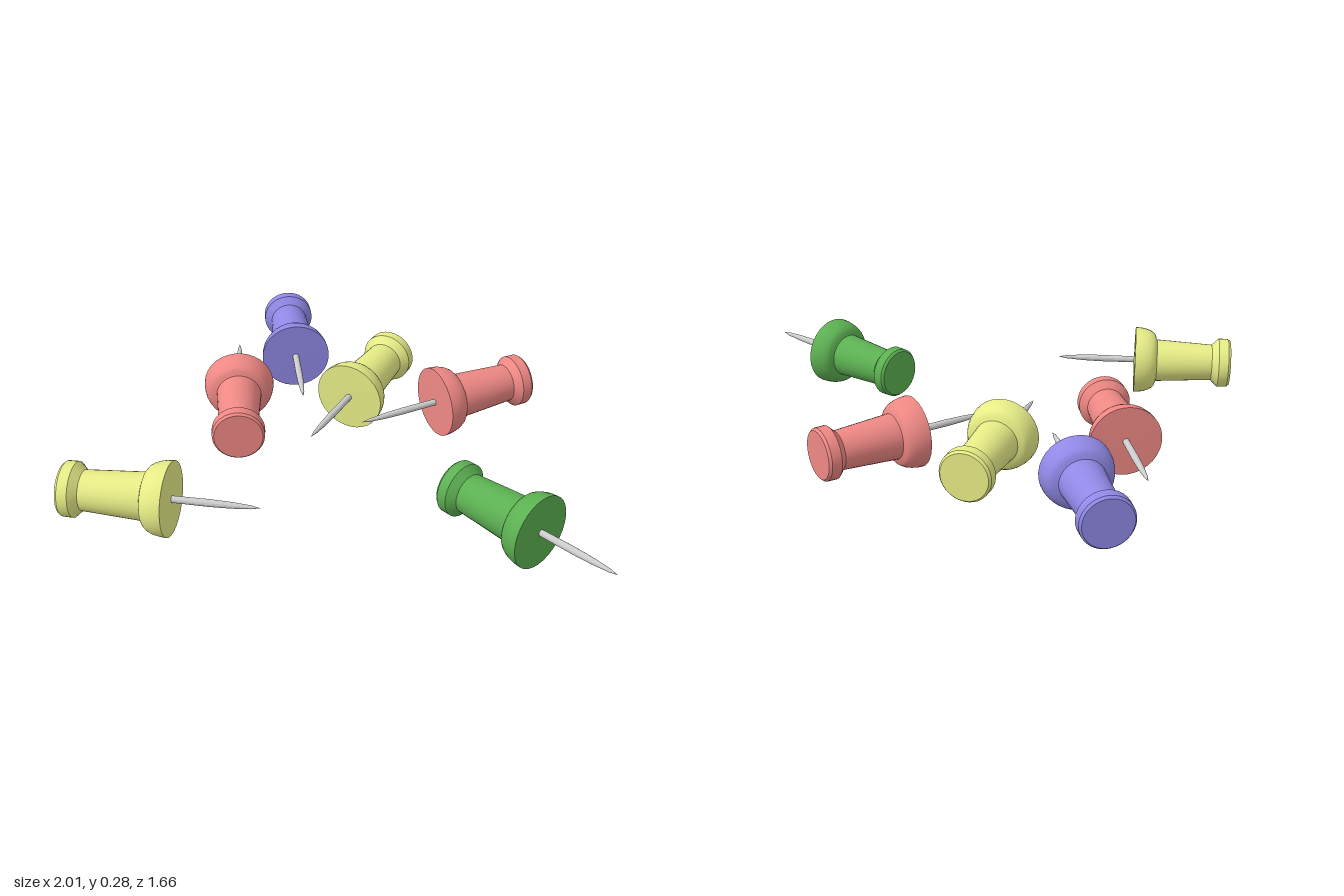
import * as THREE from 'three';
import { toCreasedNormals } from 'three/addons/utils/BufferGeometryUtils.js';

const AXIS_HEIGHT = 0.142;
const UP = new THREE.Vector3(0, 1, 0);

// Turned part from [radius, distance along the pin] pairs
function turned(profile, sides) {
  const points = profile.map(([r, y]) => new THREE.Vector2(r, y));
  return toCreasedNormals(new THREE.LatheGeometry(points, sides), 0.5);
}

// Handle: bevelled cap, tapered grip, domed collar with a flat face
function handleProfile() {
  const profile = [[0, 0], [0.095, 0], [0.103, 0.01], [0.104, 0.05], [0.076, 0.078], [0.09, 0.312]];
  for (let i = 0; i <= 6; i++) {
    const a = (i / 6) * Math.PI / 2;
    profile.push([0.098 + 0.043 * Math.sin(a), 0.406 - 0.09 * Math.cos(a)]);
  }
  profile.push([0, 0.408]);
  return profile;
}

// Needle: thin shaft tapering to a point
const needleProfile = [[0.013, 0.4], [0.014, 0.55], [0.012, 0.63], [0.007, 0.7], [0, 0.736]];

// Cap centre and needle tip of each pin as [x, z]
const pins = [
  { name: 'yellowPinFront', color: 0xe6ec86, cap: [-1, 0.695], tip: [-0.264, 0.667] },
  { name: 'yellowPinMiddle', color: 0xe6ec86, cap: [-0.03, -0.538], tip: [-0.205, 0.175] },
  { name: 'bluePin', color: 0x9088e6, cap: [-0.562, -0.803], tip: [-0.31, -0.115] },
  { name: 'redPinRight', color: 0xee8884, cap: [0.533, -0.436], tip: [-0.03, 0.03] },
  { name: 'redPinLeft', color: 0xee8884, cap: [-0.478, 0.235], tip: [-0.685, -0.47] },
  { name: 'greenPin', color: 0x5cb052, cap: [0.386, 0.38], tip: [1, 0.782] },
];

export function createModel() {
  const model = new THREE.Group();
  model.name = 'pushPins';
  const handleGeometry = turned(handleProfile(), 32);
  const needleGeometry = turned(needleProfile, 12);
  const needleMaterial = new THREE.MeshStandardMaterial({ color: 0xcccccc });

  for (const { name, color, cap, tip } of pins) {
    const pin = new THREE.Group();
    pin.name = name;
    const handle = new THREE.Mesh(handleGeometry, new THREE.MeshStandardMaterial({ color }));
    handle.name = 'handle';
    const needle = new THREE.Mesh(needleGeometry, needleMaterial);
    needle.name = 'needle';
    pin.add(handle, needle);

    // Lay the pin flat, pointing from cap to tip
    const direction = new THREE.Vector3(tip[0] - cap[0], 0, tip[1] - cap[1]).normalize();
    pin.quaternion.setFromUnitVectors(UP, direction);
    pin.position.set(cap[0], AXIS_HEIGHT, cap[1]);
    model.add(pin);
  }
  return model;
}
